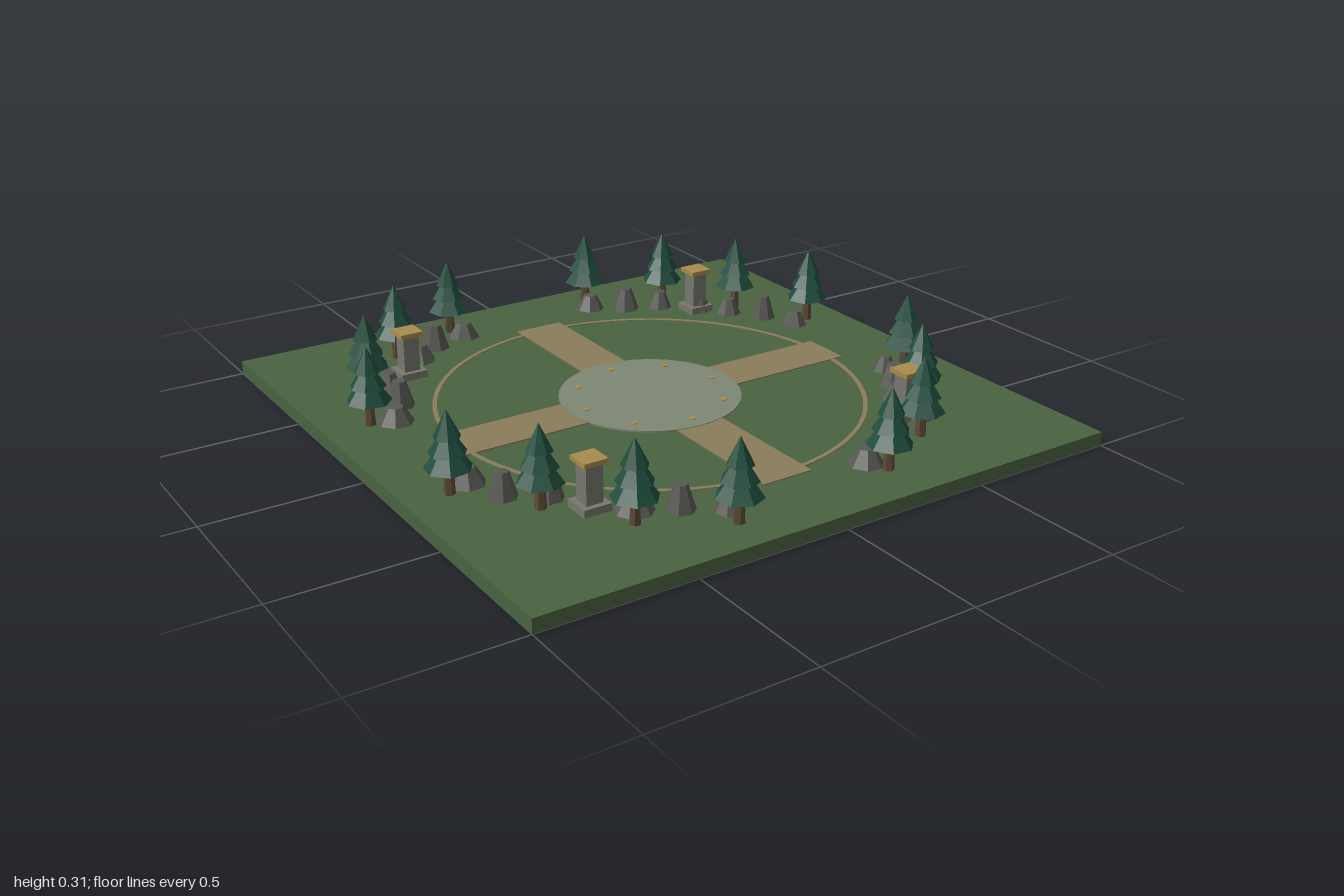
import * as THREE from 'three';

const mat = (name, color, flatShading = true) => {
  const m = new THREE.MeshStandardMaterial({ color, flatShading });
  m.name = name;
  return m;
};

export function createModel() {
  const root = new THREE.Group();
  root.name = 'forestClearing';
  const grass = mat('grass green', 0x4a6340);
  const dirt = mat('path tan', 0x8b7d5a);
  const plazaStone = mat('plaza stone', 0x7e8675);
  const gold = mat('dull gold', 0xa88c4c);
  const leaf = mat('pine green', 0x1f4d3d);
  const bark = mat('bark brown', 0x5c4a36);
  const rockGrey = mat('rock grey', 0x585853);
  const pillarGrey = mat('pillar grey', 0x77786e);

  const add = (parent, name, geo, material, x, y, z) => {
    const m = new THREE.Mesh(geo, material);
    m.name = name;
    m.position.set(x, y, z);
    parent.add(m);
    return m;
  };
  const G = 0.045; // ground level

  add(root, 'ground', new THREE.BoxGeometry(2, G, 2), grass, 0, G / 2, 0);

  // Four paths meeting below the plaza
  for (let i = 0; i < 4; i++) {
    const arm = new THREE.Group();
    arm.name = 'pathArm';
    arm.rotation.y = i * Math.PI / 2;
    add(arm, 'path', new THREE.BoxGeometry(0.17, 0.004, 0.467), dirt, 0, G + 0.002, 0.4935);
    root.add(arm);
  }

  // Thin boundary ring
  const ring = new THREE.Shape().absarc(0, 0, 0.697, 0, Math.PI * 2);
  ring.holes.push(new THREE.Path().absarc(0, 0, 0.683, 0, Math.PI * 2, true));
  const ringGeo = new THREE.ExtrudeGeometry(ring, { depth: 0.003, bevelEnabled: false, curveSegments: 64 });
  ringGeo.rotateX(-Math.PI / 2);
  add(root, 'boundaryRing', ringGeo, dirt, 0, G, 0);

  // Round plaza with eight studs
  add(root, 'plaza', new THREE.CylinderGeometry(0.295, 0.295, 0.006, 48), plazaStone, 0, G + 0.003, 0);
  for (let i = 0; i < 8; i++) {
    const a = i * Math.PI / 4;
    add(root, 'plazaStud', new THREE.CylinderGeometry(0.012, 0.012, 0.004, 8), gold,
      Math.cos(a) * 0.24, G + 0.007, Math.sin(a) * 0.24);
  }

  // Pillars at the four corners of the clearing
  for (const sx of [-1, 1]) for (const sz of [-1, 1]) {
    const p = new THREE.Group();
    p.name = 'pillar';
    p.position.set(sx * 0.577, G, sz * 0.577);
    add(p, 'pillarBase', new THREE.BoxGeometry(0.09, 0.024, 0.09), pillarGrey, 0, 0.012, 0);
    add(p, 'pillarShaft', new THREE.BoxGeometry(0.055, 0.125, 0.055), pillarGrey, 0, 0.0825, 0);
    add(p, 'pillarCap', new THREE.BoxGeometry(0.078, 0.015, 0.078), gold, 0, 0.1525, 0);
    root.add(p);
  }

  // Three-tier pines: x, z
  const trunkGeo = new THREE.CylinderGeometry(0.013, 0.018, 0.1, 6);
  const tiers = [[0.072, 0.125, 0.1], [0.057, 0.172, 0.09], [0.041, 0.22, 0.085]]
    .map(([r, y, h]) => new THREE.ConeGeometry(r, h, 7).translate(0, y + h / 2, 0));
  const trees = [
    [-0.28, -0.87], [-0.54, -0.75], [-0.74, -0.54], [-0.85, -0.28],
    [0.28, -0.87], [0.53, -0.73], [0.72, -0.53], [0.86, -0.28],
    [-0.86, 0.28], [-0.69, 0.5], [-0.52, 0.72], [-0.28, 0.87],
    [0.28, 0.84], [0.52, 0.71], [0.7, 0.5], [0.84, 0.27],
  ];
  trees.forEach(([x, z], i) => {
    const t = new THREE.Group();
    t.name = 'pineTree';
    t.position.set(x, 0, z);
    t.rotation.y = i * 1.3;
    add(t, 'trunk', trunkGeo, bark, 0, G + 0.05, 0);
    tiers.forEach(g => add(t, 'foliage', g, leaf, 0, 0, 0));
    root.add(t);
  });

  // Tapered rocks: x, z, base radius, height
  const rocks = [
    [-0.26, -0.8, 0.055, 0.052], [-0.39, -0.76, 0.05, 0.083], [-0.49, -0.68, 0.055, 0.055],
    [-0.685, -0.5, 0.045, 0.06], [-0.71, -0.365, 0.048, 0.085], [-0.775, -0.255, 0.058, 0.052],
    [0.26, -0.8, 0.05, 0.052], [0.37, -0.73, 0.048, 0.077], [0.485, -0.675, 0.042, 0.06],
    [0.585, -0.58, 0.055, 0.06], [0.66, -0.485, 0.045, 0.055], [0.74, -0.38, 0.043, 0.08],
    [0.79, -0.26, 0.045, 0.05], [-0.79, 0.25, 0.058, 0.055], [-0.745, 0.38, 0.046, 0.08],
    [-0.64, 0.46, 0.045, 0.085], [-0.48, 0.655, 0.06, 0.055], [-0.37, 0.72, 0.045, 0.08],
    [-0.26, 0.8, 0.045, 0.052], [0.775, 0.25, 0.04, 0.05], [0.715, 0.365, 0.05, 0.075],
    [0.64, 0.465, 0.05, 0.055], [0.605, 0.605, 0.05, 0.055], [0.47, 0.65, 0.05, 0.055],
    [0.365, 0.715, 0.05, 0.075], [0.25, 0.775, 0.055, 0.052],
  ];
  rocks.forEach(([x, z, r, h], i) => {
    const rock = add(root, 'rock', new THREE.CylinderGeometry(r * 0.45, r, h, 7), rockGrey, x, G + h / 2, z);
    rock.rotation.y = i * 1.7;
  });

  return root;
}
